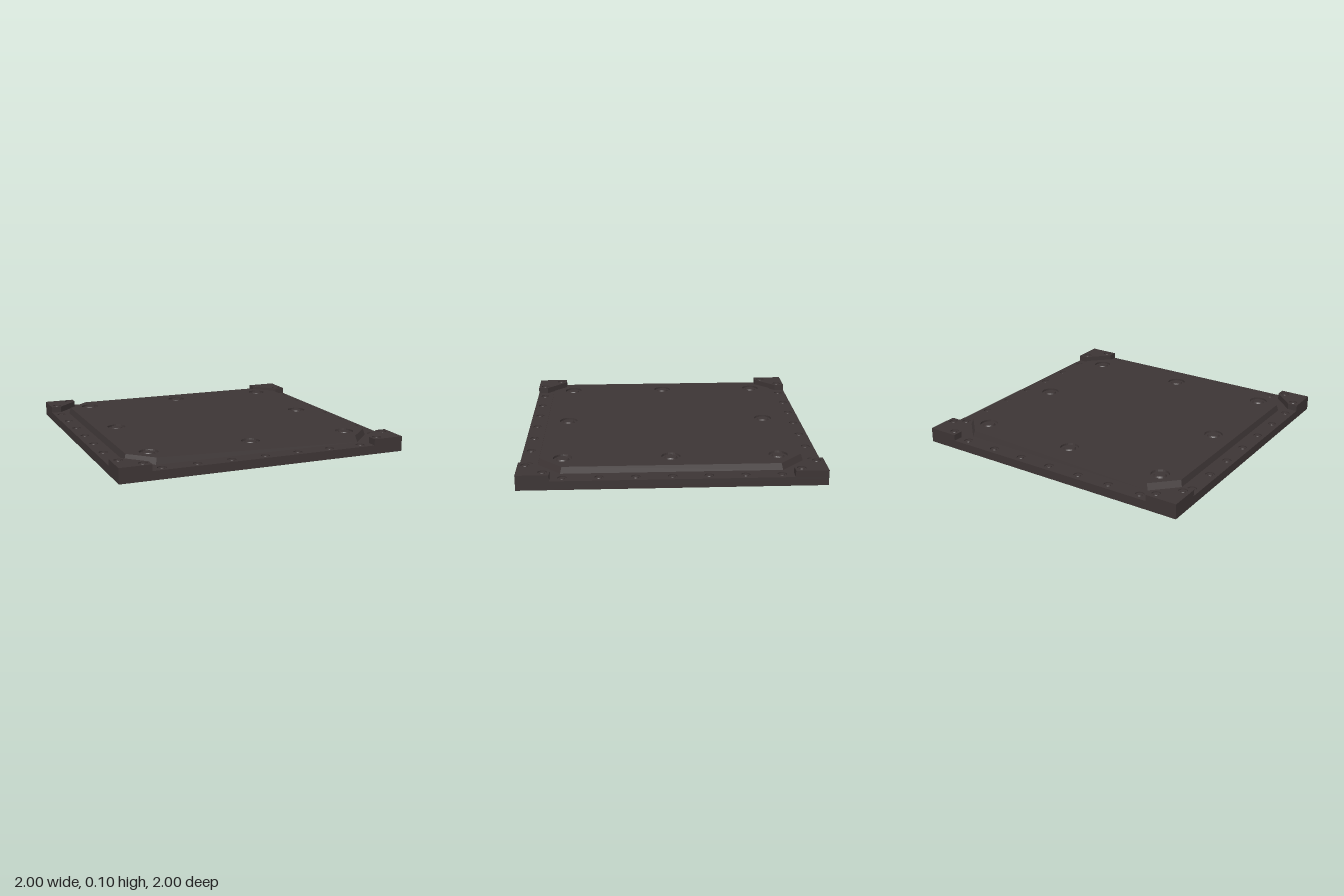
import * as THREE from 'three';

const iron = new THREE.MeshStandardMaterial({ color: 0x3d3535 });
iron.name = 'darkIron';

// Horizontal slab from an outline [x, y] with round openings [x, y, r]; outline y points to -z.
function slabGeometry(outline, holes, y0, y1) {
  const shape = new THREE.Shape(outline.map(([x, y]) => new THREE.Vector2(x, y)));
  for (const [x, y, r] of holes) {
    shape.holes.push(new THREE.Path().absarc(x, y, r, 0, Math.PI * 2, true));
  }
  const g = new THREE.ExtrudeGeometry(shape, { depth: y1 - y0, bevelEnabled: false, curveSegments: 12 });
  g.rotateX(-Math.PI / 2);
  g.translate(0, y0, 0);
  return g;
}

// Bolt seated in a counterbore: wall, floor, tapered head and flat top.
function boltGeometry(r, rHead, depth) {
  const profile = [
    [r, 0], [r, -depth], [rHead, -depth], [rHead * 0.8, -depth * 0.1], [0, -depth * 0.1],
  ].map(([x, y]) => new THREE.Vector2(x, y));
  const g = new THREE.LatheGeometry(profile, 24).toNonIndexed();
  g.computeVertexNormals();
  return g;
}

function add(parent, name, geometry, x = 0, y = 0, z = 0) {
  const mesh = new THREE.Mesh(geometry, iron);
  mesh.name = name;
  mesh.position.set(x, y, z);
  parent.add(mesh);
  return mesh;
}

export function createModel() {
  const model = new THREE.Group();
  model.name = 'armouredFloorPanel';
  const RIM = 0.06, TOP = 0.103, RIVET = 0.03;
  const rivet = boltGeometry(RIVET, 0.019, 0.008);
  const bolt = boltGeometry(0.063, 0.044, 0.014);

  // Solid base
  add(model, 'base', new THREE.BoxGeometry(2, 0.05, 2), 0, 0.025, 0);

  // Rim layer with a row of seven rivets along each side
  const rimRivets = [];
  for (let i = -3; i <= 3; i++) {
    const t = i * 0.2355;
    rimRivets.push([t, 0.945, RIVET], [t, -0.945, RIVET], [0.945, t, RIVET], [-0.945, t, RIVET]);
  }
  add(model, 'rim', slabGeometry([[-1, -1], [1, -1], [1, 1], [-1, 1]], rimRivets, 0.05, RIM));
  for (const [x, y] of rimRivets) add(model, 'rimRivet', rivet, x, RIM, -y);

  // Raised plate with cut corners and sloped sides
  const a = 0.868, b = 0.713;
  const plateBolts = [];
  for (const x of [-1, 0, 1]) {
    for (const y of [-1, 0, 1]) {
      if (x || y) plateBolts.push([x * 0.715, y * 0.715, 0.063]);
    }
  }
  const plate = slabGeometry(
    [[b, -a], [a, -b], [a, b], [b, a], [-b, a], [-a, b], [-a, -b], [-b, -a]],
    plateBolts, RIM, TOP);
  const p = plate.attributes.position;
  for (let i = 0; i < p.count; i++) {
    if (p.getY(i) < RIM + 0.001) p.setXYZ(i, p.getX(i) * 1.014, p.getY(i), p.getZ(i) * 1.014);
  }
  plate.computeVertexNormals();
  add(model, 'centrePlate', plate);
  for (const [x, y] of plateBolts) add(model, 'plateBolt', bolt, x, TOP, -y);

  // Corner blocks, each with two rivets
  const cornerRivets = [[0.83, 0.95, RIVET], [0.95, 0.83, RIVET]];
  const block = slabGeometry(
    [[1, 1], [0.785, 1], [0.785, 0.93], [0.93, 0.785], [1, 0.785]],
    cornerRivets, RIM, TOP);
  for (let i = 0; i < 4; i++) {
    const corner = new THREE.Group();
    corner.name = 'corner';
    add(corner, 'cornerBlock', block);
    for (const [x, y] of cornerRivets) add(corner, 'cornerRivet', rivet, x, TOP, -y);
    corner.rotation.y = i * Math.PI / 2;
    model.add(corner);
  }
  return model;
}
